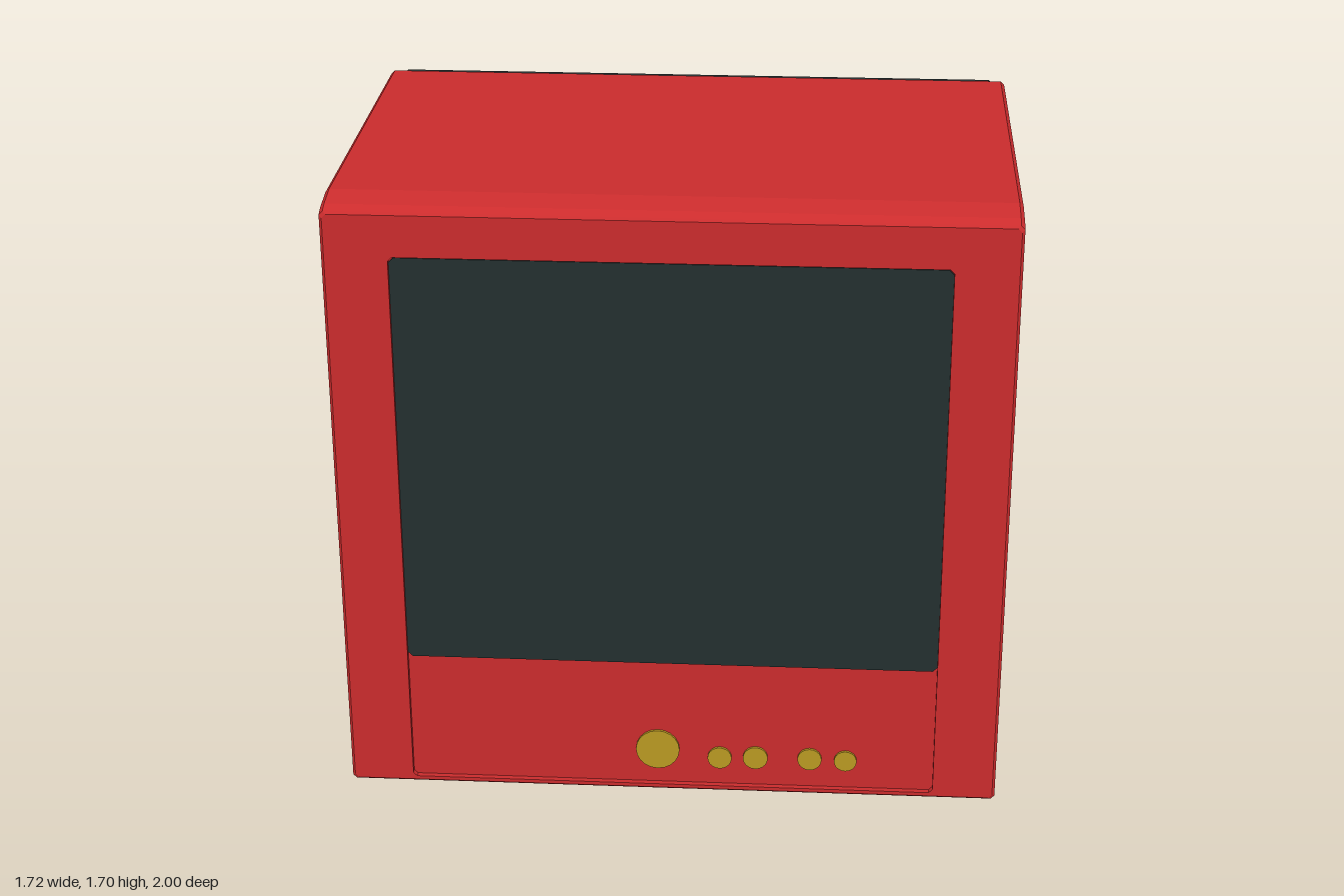
import * as THREE from 'three';

const red = new THREE.MeshStandardMaterial({ color: 0xcc2c2d });
red.name = 'red plastic';
const dark = new THREE.MeshStandardMaterial({ color: 0x243030 });
dark.name = 'dark plastic';
const gold = new THREE.MeshStandardMaterial({ color: 0xba9a22 });
gold.name = 'gold knobs';

// Rectangle with cut corners, counter-clockwise seen from the front
function ring([z, halfW, y0, y1, c = 0.01]) {
  const w = halfW;
  return [
    [w, y0 + c], [w, y1 - c], [w - c, y1], [c - w, y1],
    [-w, y1 - c], [-w, y0 + c], [c - w, y0], [w - c, y0],
  ].map(([x, y]) => [x, y, z]);
}

// Closed faceted solid through sections ordered from back to front
function loft(sections) {
  const rings = sections.map(ring);
  const pos = [];
  const tri = (a, b, c) => pos.push(...a, ...b, ...c);
  for (let i = 0; i < rings.length - 1; i++) {
    for (let j = 0; j < 8; j++) {
      const k = (j + 1) % 8;
      const [a, b, c, d] = [rings[i][j], rings[i][k], rings[i + 1][j], rings[i + 1][k]];
      tri(a, b, d);
      tri(a, d, c);
    }
  }
  const first = rings[0], last = rings[rings.length - 1];
  for (let j = 1; j < 7; j++) {
    tri(first[0], first[j + 1], first[j]);
    tri(last[0], last[j], last[j + 1]);
  }
  const g = new THREE.BufferGeometry();
  g.setAttribute('position', new THREE.Float32BufferAttribute(pos, 3));
  g.computeVertexNormals();
  return g;
}

export function createModel() {
  const group = new THREE.Group();
  const add = (name, geometry, material, x = 0, y = 0, z = 0) => {
    const mesh = new THREE.Mesh(geometry, material);
    mesh.name = name;
    mesh.position.set(x, y, z);
    group.add(mesh);
    return mesh;
  };

  // Cabinet with sloped top lip and a shallow front recess
  add('cabinet', loft([
    [-0.09, 0.852, 0.053, 1.687],
    [-0.08, 0.86, 0.045, 1.695],
    [0.90, 0.86, 0.045, 1.695],
    [0.97, 0.86, 0.045, 1.682],
    [0.995, 0.86, 0.045, 1.672],
    [1.0, 0.853, 0.05, 1.665],
    [1.0, 0.695, 0.06, 1.555],
    [0.985, 0.695, 0.06, 1.555],
  ]), red);

  // Screen plate
  add('screen', loft([
    [0.983, 0.695, 0.425, 1.55, 0.012],
    [0.990, 0.695, 0.425, 1.55, 0.012],
  ]), dark);

  // Round controls on the lower panel
  for (const [x, y, r] of [
    [-0.037, 0.162, 0.058], [0.128, 0.141, 0.032], [0.223, 0.144, 0.033],
    [0.367, 0.145, 0.032], [0.462, 0.143, 0.03],
  ]) {
    add('knob', new THREE.CylinderGeometry(r, r, 0.008, 20), gold, x, y, 0.988)
      .rotation.x = Math.PI / 2;
  }

  // Tapering rear housing and tube neck
  add('rearHousing', loft([
    [-1.0, 0.355, 0.595, 1.22, 0.003],
    [-0.58, 0.45, 0.51, 1.303, 0.003],
    [-0.57, 0.46, 0.06, 1.313, 0.003],
    [-0.36, 0.69, 0.06, 1.525, 0.008],
    [-0.29, 0.745, 0.06, 1.58, 0.012],
    [-0.17, 0.83, 0.056, 1.665, 0.02],
    [-0.13, 0.845, 0.055, 1.683, 0.025],
    [-0.08, 0.848, 0.055, 1.688, 0.025],
  ]), dark);

  // Lower rear box for the electronics
  add('rearBox', loft([
    [-0.582, 0.733, 0.057, 0.506, 0.004],
    [-0.2, 0.747, 0.057, 0.49, 0.004],
  ]), dark);

  // Bar feet
  for (const z of [0.872, -0.012]) {
    add('footBar', loft([
      [z - 0.03, 0.7, 0.03, 0.06, 0.004],
      [z - 0.025, 0.7, 0.002, 0.06, 0.004],
      [z + 0.025, 0.7, 0.002, 0.06, 0.004],
      [z + 0.03, 0.7, 0.03, 0.06, 0.004],
    ]), red, 0, -0.002, 0);
  }
  return group;
}
